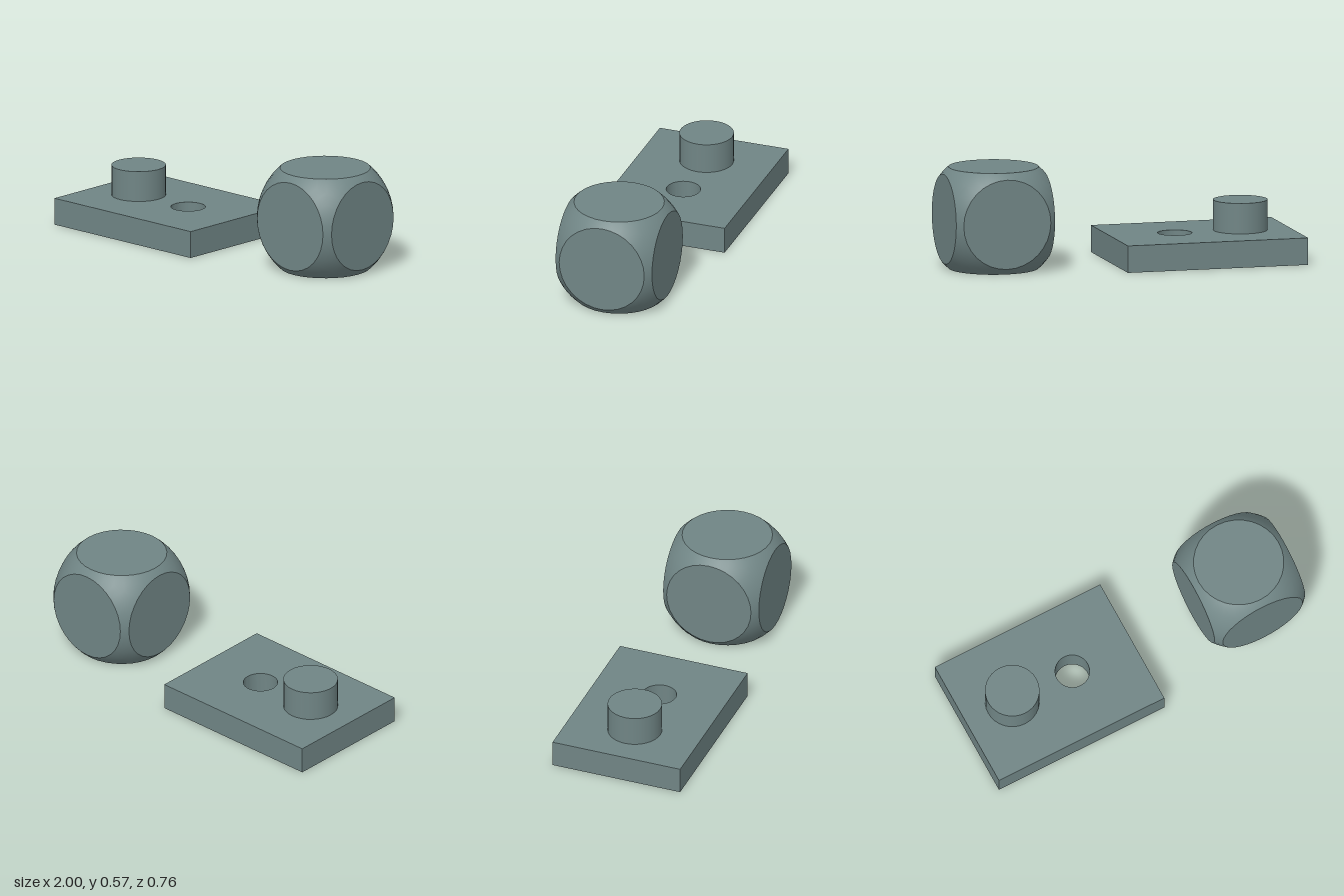
import * as THREE from 'three';
import { toCreasedNormals } from 'three/addons/utils/BufferGeometryUtils.js';

const SEGMENTS = 32; // multiple of 8, so neighbouring ball patches share their borders
const RINGS = 5;

// Spherical patch around one flat: from the flat's circle out to the border with its neighbours
function spherePatch(u, v, n, radius, half) {
  const flatRadius = Math.sqrt(radius * radius - half * half);
  const positions = [], normals = [], index = [];
  for (let j = 0; j <= RINGS; j++) {
    for (let i = 0; i <= SEGMENTS; i++) {
      const angle = (i / SEGMENTS) * Math.PI * 2;
      const c = Math.cos(angle), s = Math.sin(angle);
      const outer = 1 / Math.max(Math.abs(c), Math.abs(s));
      const r = THREE.MathUtils.lerp(flatRadius / half, outer, j / RINGS);
      const p = n.clone().addScaledVector(u, c * r).addScaledVector(v, s * r).normalize();
      normals.push(p.x, p.y, p.z);
      positions.push(p.x * radius, p.y * radius, p.z * radius);
    }
  }
  const row = SEGMENTS + 1;
  for (let j = 0; j < RINGS; j++) {
    for (let i = 0; i < SEGMENTS; i++) {
      const a = j * row + i, b = a + row;
      index.push(a, b, b + 1, a, b + 1, a + 1);
    }
  }
  const geometry = new THREE.BufferGeometry();
  geometry.setAttribute('position', new THREE.Float32BufferAttribute(positions, 3));
  geometry.setAttribute('normal', new THREE.Float32BufferAttribute(normals, 3));
  geometry.setIndex(index);
  return geometry;
}

// Ball with six flats: a sphere cut by a cube
function createFlattenedBall(material, radius, half) {
  const ball = new THREE.Group();
  ball.name = 'flattenedBall';
  const flatRadius = Math.sqrt(radius * radius - half * half);
  const axis = (k, s = 1) => new THREE.Vector3().setComponent(k % 3, s);
  for (let k = 0; k < 3; k++) {
    for (const s of [1, -1]) {
      const n = axis(k, s), u = axis(k + 1), v = axis(k + 2, s);
      const patch = new THREE.Mesh(spherePatch(u, v, n, radius, half), material);
      patch.name = 'roundedSurface';
      const disc = new THREE.CircleGeometry(flatRadius, SEGMENTS);
      disc.translate(0, 0, half).applyMatrix4(new THREE.Matrix4().makeBasis(u, v, n));
      const flat = new THREE.Mesh(disc, material);
      flat.name = 'flatFace';
      ball.add(patch, flat);
    }
  }
  return ball;
}

// Rectangular plate with a round through hole
function createPlate(material) {
  const outline = new THREE.Shape([
    new THREE.Vector2(-1, -0.381), new THREE.Vector2(0.043, -0.381),
    new THREE.Vector2(0.043, 0.381), new THREE.Vector2(-1, 0.381),
  ]);
  const hole = new THREE.Path();
  hole.absarc(-0.335, 0, 0.096, 0, Math.PI * 2, true);
  outline.holes.push(hole);
  const geometry = new THREE.ExtrudeGeometry(outline, { depth: 0.152, bevelEnabled: false, curveSegments: SEGMENTS });
  geometry.rotateX(-Math.PI / 2);
  const plate = new THREE.Mesh(toCreasedNormals(geometry, 0.6), material);
  plate.name = 'basePlate';
  return plate;
}

export function createModel() {
  const model = new THREE.Group();
  model.name = 'plateAndBall';
  const material = new THREE.MeshStandardMaterial({ color: 0x708585 });
  material.name = 'greyTeal';

  model.add(createPlate(material));

  // Peg standing on the plate
  const peg = new THREE.Mesh(new THREE.CylinderGeometry(0.152, 0.152, 0.172, SEGMENTS), material);
  peg.name = 'peg';
  peg.position.set(-0.714, 0.238, 0);
  model.add(peg);

  const ball = createFlattenedBall(material, 0.381, 0.2857);
  ball.position.set(0.7143, 0.2857, 0);
  model.add(ball);

  return model;
}
